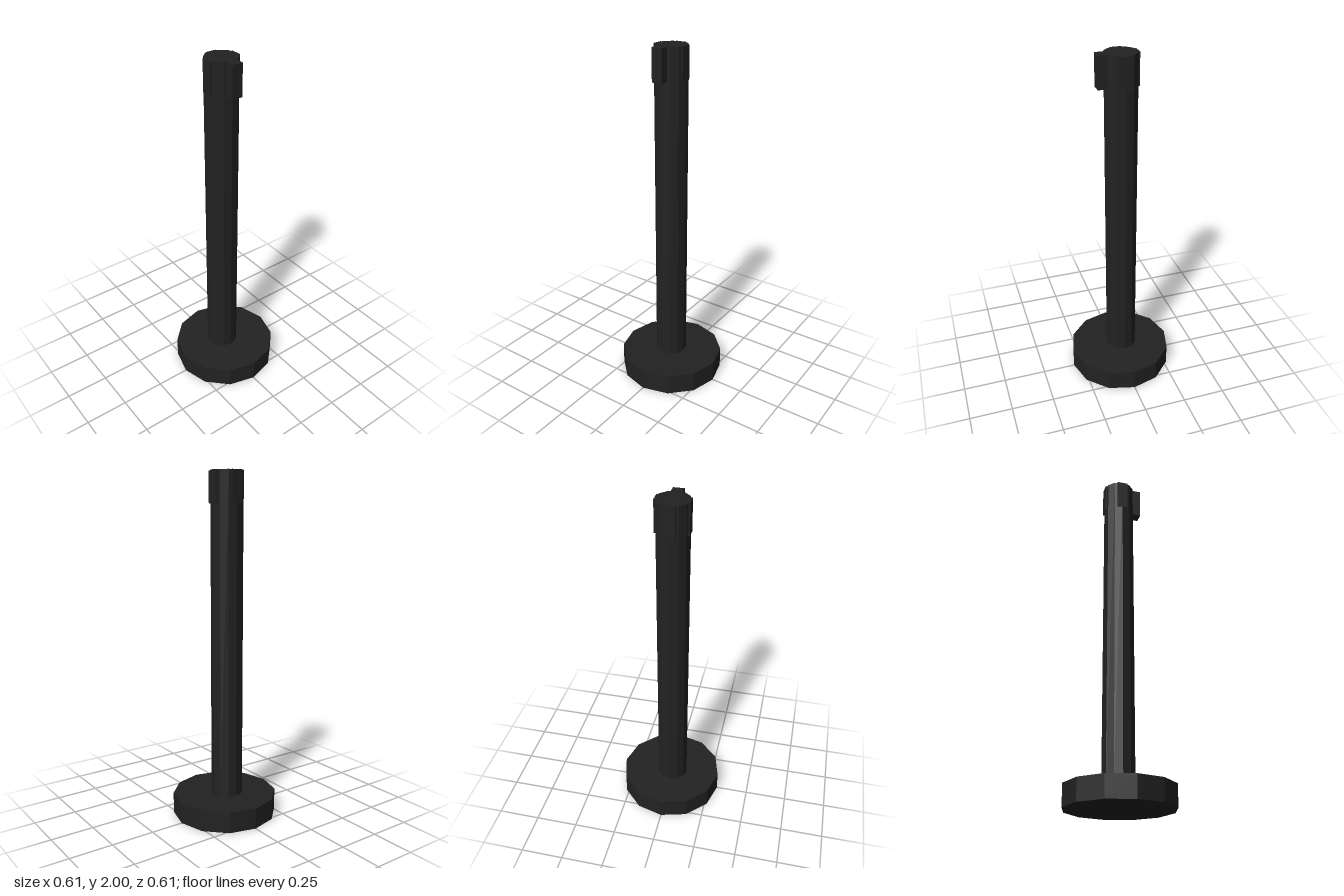
import * as THREE from 'three';

export function createModel() {
  const model = new THREE.Group();
  const material = new THREE.MeshStandardMaterial({ color: 0x222222, flatShading: true });

  function add(name, geometry, x, y, z, parent = model) {
    const mesh = new THREE.Mesh(geometry, material);
    mesh.name = name;
    mesh.position.set(x, y, z);
    parent.add(mesh);
    return mesh;
  }

  // Heavy twelve-sided foot
  const baseHeight = 0.123;
  add('base', new THREE.CylinderGeometry(0.306, 0.306, baseHeight, 12), 0, baseHeight / 2, 0);

  // Slim post, set slightly off the centre of the foot
  const radius = 0.092;
  const postX = -0.011, postZ = 0.01;
  const postHeight = 2 - baseHeight;
  add('post', new THREE.CylinderGeometry(radius, radius, postHeight, 12), postX, baseHeight + postHeight / 2, postZ);

  // Belt head: four clips around the top, the one on +x reaching further out
  const head = new THREE.Group();
  head.name = 'beltHead';
  head.position.set(postX, 0, postZ);
  model.add(head);
  const clipHeight = 0.18, clipWidth = 0.062, inner = 0.05;
  ['beltEnd', 'backClip', 'rightClip', 'frontClip'].forEach((name, i) => {
    const outer = i === 0 ? 0.133 : radius + 0.0005;
    const angle = i * Math.PI / 2;
    const middle = (inner + outer) / 2;
    const clip = add(name, new THREE.BoxGeometry(outer - inner, clipHeight, clipWidth),
      Math.cos(angle) * middle, 2 - clipHeight / 2, -Math.sin(angle) * middle, head);
    clip.rotation.y = angle;
  });

  return model;
}
